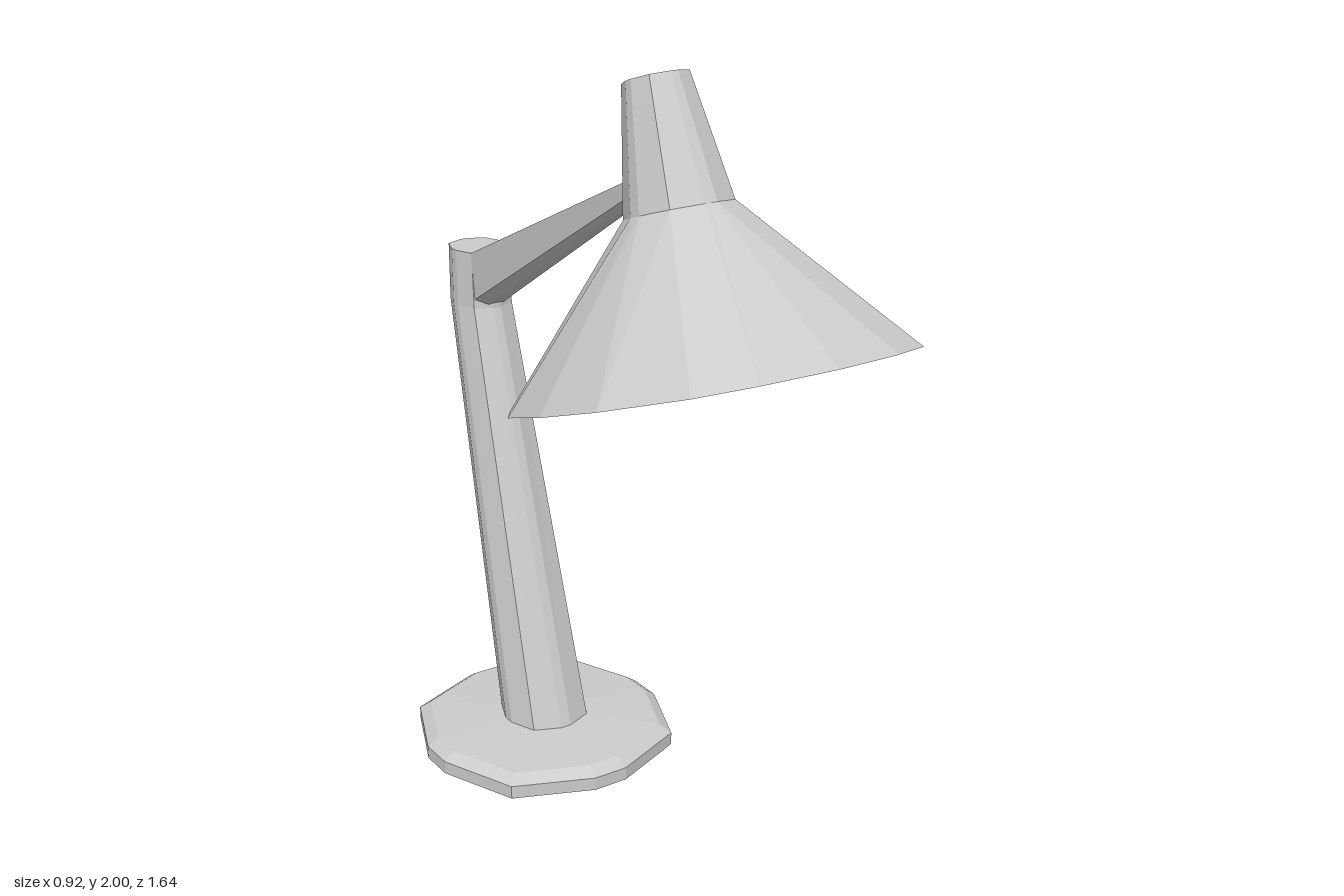
import * as THREE from 'three';

const material = new THREE.MeshStandardMaterial({ color: 0xcccccc, flatShading: true });

// Quarter outlines [x, z] from the front (+z) round to the side (+x), unit size
const BEVELLED = [[0, 1], [0.14, 1], [0.75, 0.75], [1, 0.14], [1, 0]];
const ROUND = [[0, 0.49], [0.19, 0.46], [0.32, 0.395], [0.432, 0.2], [0.46, 0]];

// Mirror a quarter outline into a closed horizontal ring of 16 points
function ring(quarter, y, sx, sz = sx, z = 0) {
  const back = quarter.slice(0, 4).reverse().map(([a, b]) => [a, -b]);
  const half = [...quarter, ...back];
  const other = half.slice(1, -1).reverse().map(([a, b]) => [-a, b]);
  return [...half, ...other].map(([a, b]) => new THREE.Vector3(a * sx, y, b * sz + z));
}

// Skin rings (counter-clockwise seen from the end) and close both ends
function loft(name, rings) {
  const out = [];
  const tri = (...points) => points.forEach((p) => out.push(p.x, p.y, p.z));
  const n = rings[0].length;
  const centre = (r) => r.reduce((s, p) => s.add(p), new THREE.Vector3()).divideScalar(n);
  const first = rings[0];
  const last = rings[rings.length - 1];
  const c0 = centre(first);
  const c1 = centre(last);
  for (let i = 0; i < n; i++) {
    const j = (i + 1) % n;
    tri(c0, first[j], first[i]);
    tri(c1, last[i], last[j]);
    for (let k = 0; k + 1 < rings.length; k++) {
      const a = rings[k];
      const b = rings[k + 1];
      tri(a[i], a[j], b[j]);
      tri(a[i], b[j], b[i]);
    }
  }
  const geometry = new THREE.BufferGeometry();
  geometry.setAttribute('position', new THREE.Float32BufferAttribute(out, 3));
  geometry.computeVertexNormals();
  const mesh = new THREE.Mesh(geometry, material);
  mesh.name = name;
  return mesh;
}

// Arm section: flat top, tapered sides, narrow underside
function armSection(z, top, bottom, w, bevel) {
  return [
    [-w * 0.4, bottom], [w * 0.4, bottom], [w * 0.95, bottom + bevel],
    [w, top], [-w, top], [-w * 0.95, bottom + bevel],
  ].map(([x, y]) => new THREE.Vector3(x, y, z));
}

export function createModel() {
  const lamp = new THREE.Group();
  lamp.name = 'deskLamp';

  // Foot plate with bevelled rim and gently raised top
  lamp.add(loft('base', [
    ring(BEVELLED, 0, 0.353, 0.355, -0.425),
    ring(BEVELLED, 0.037, 0.353, 0.355, -0.425),
    ring(BEVELLED, 0.06, 0.322, 0.322, -0.425),
    ring(BEVELLED, 0.073, 0.12, 0.12, -0.423),
  ]));

  // Leaning pole ending in an upright elbow
  lamp.add(loft('pole', [
    ring(BEVELLED, 0.06, 0.118, 0.122, -0.421),
    ring(BEVELLED, 1.23, 0.08, 0.09, -0.728),
    ring(BEVELLED, 1.385, 0.078, 0.087, -0.733),
  ]));

  // Tapered arm from elbow to head
  lamp.add(loft('arm', [
    armSection(-0.67, 1.385, 1.225, 0.06, 0.025),
    armSection(0.1, 1.74, 1.69, 0.03, 0.015),
  ]));

  // Tilted head: hollow flared shade, then a tapered neck
  const head = new THREE.Group();
  head.name = 'head';
  head.position.set(0, 1.3, 0.352);
  head.rotation.x = -0.326;
  head.add(loft('shadeAndNeck', [
    ring(BEVELLED, 0.38, 0.105, 0.115),
    ring(ROUND, 0, 0.965),
    ring(ROUND, 0, 1),
    ring(BEVELLED, 0.4, 0.122, 0.134),
    ring(BEVELLED, 0.708, 0.075, 0.08),
  ]));
  lamp.add(head);

  return lamp;
}
